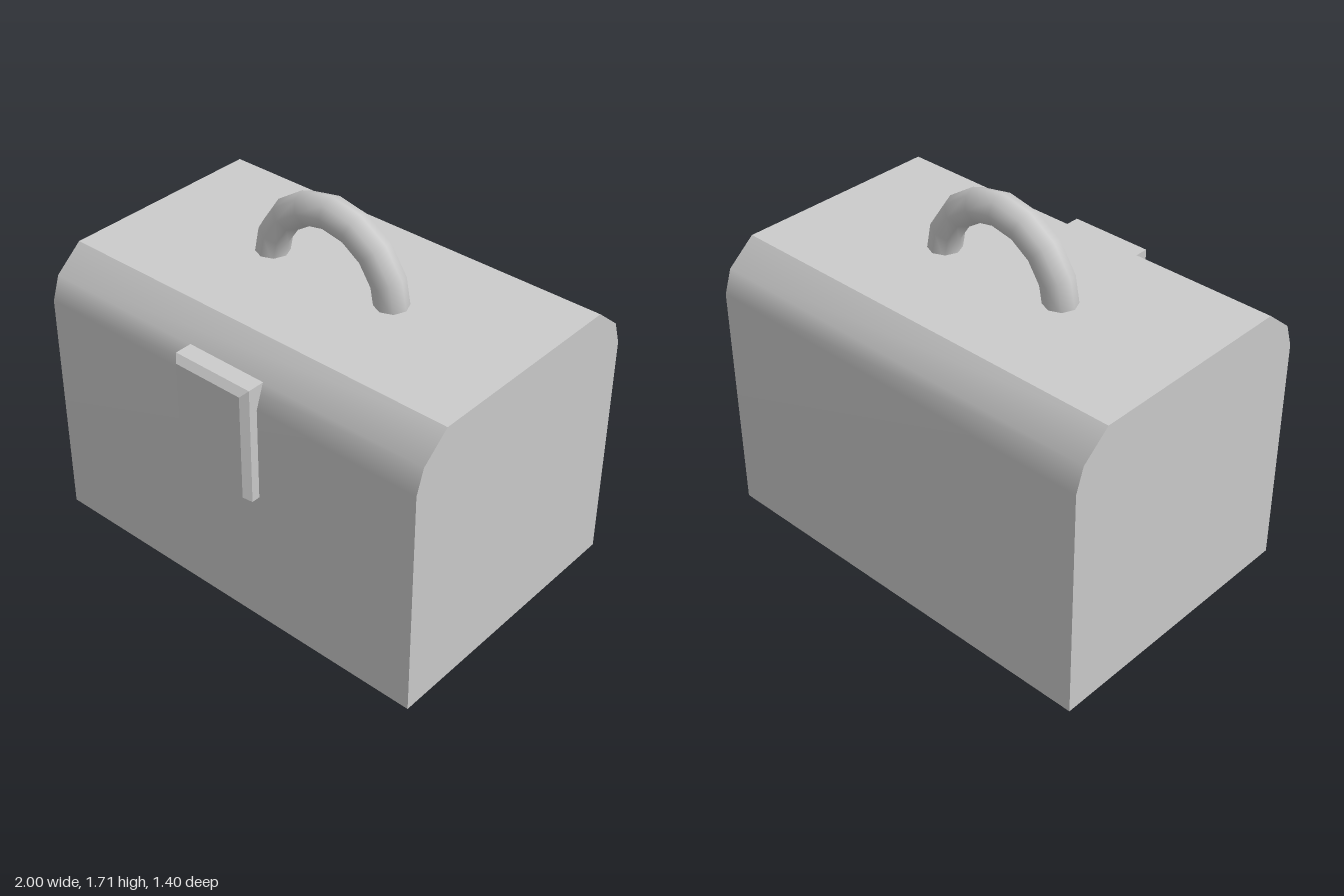
import * as THREE from 'three';

const material = new THREE.MeshStandardMaterial({ color: 0xcccccc });
const HALF = 1; // half the box's width in x

function add(group, name, geometry) {
  const mesh = new THREE.Mesh(geometry, material);
  mesh.name = name;
  group.add(mesh);
  return mesh;
}

// Smooth sheet spanning the box's width along a [z, y] profile
function sheet(profile) {
  const g = new THREE.PlaneGeometry(2 * HALF, 1, 1, profile.length - 1);
  const p = g.attributes.position;
  profile.forEach(([z, y], i) => {
    p.setXYZ(2 * i, -HALF, y, z);
    p.setXYZ(2 * i + 1, HALF, y, z);
  });
  g.computeVertexNormals();
  return g;
}

export function createModel() {
  const model = new THREE.Group();
  model.name = 'lunchBox';
  const midZ = -0.033;

  // Box body: walls curve over into a flat lid, sharp along the lid's edges
  const half = [[0.498, 1.332], [0.63, 1.222], [0.668, 1.11], [0.668, 0]];
  const front = half.map(([z, y]) => [midZ + z, y]);
  const back = half.map(([z, y]) => [midZ - z, y]).reverse();
  const body = new THREE.Group();
  body.name = 'body';
  model.add(body);
  add(body, 'frontWall', sheet(front));
  add(body, 'backWall', sheet(back));
  add(body, 'lidTop', sheet([back.at(-1), front[0]]));
  add(body, 'base', sheet([front.at(-1), back[0]]));

  // End walls
  const outline = new THREE.Shape([...front, ...back].map(([z, y]) => new THREE.Vector2(-z, y)));
  add(body, 'leftEnd', new THREE.ShapeGeometry(outline).rotateY(Math.PI / 2).translate(HALF, 0, 0));
  const mirrored = new THREE.Shape([...front, ...back].map(([z, y]) => new THREE.Vector2(z, y)));
  add(body, 'rightEnd', new THREE.ShapeGeometry(mirrored).rotateY(-Math.PI / 2).translate(-HALF, 0, 0));

  // Latch: bevelled plate set into the front wall
  const bevel = 0.027, w = 0.2 - bevel, y0 = 0.67 + bevel, y1 = 1.224 - bevel;
  const plate = new THREE.Shape([[-w, y0], [w, y0], [w, y1], [-w, y1]].map(a => new THREE.Vector2(...a)));
  add(model, 'latch', new THREE.ExtrudeGeometry(plate, {
    depth: 0.175, bevelSegments: 1, bevelSize: bevel, bevelThickness: 0.029,
  }).translate(0, 0, 0.5));

  // Carrying handle: half ring sunk slightly into the lid
  const handle = add(model, 'handle', new THREE.TorusGeometry(0.333, 0.076, 8, 8, Math.PI));
  handle.position.set(0, 1.303, midZ);

  return model;
}
